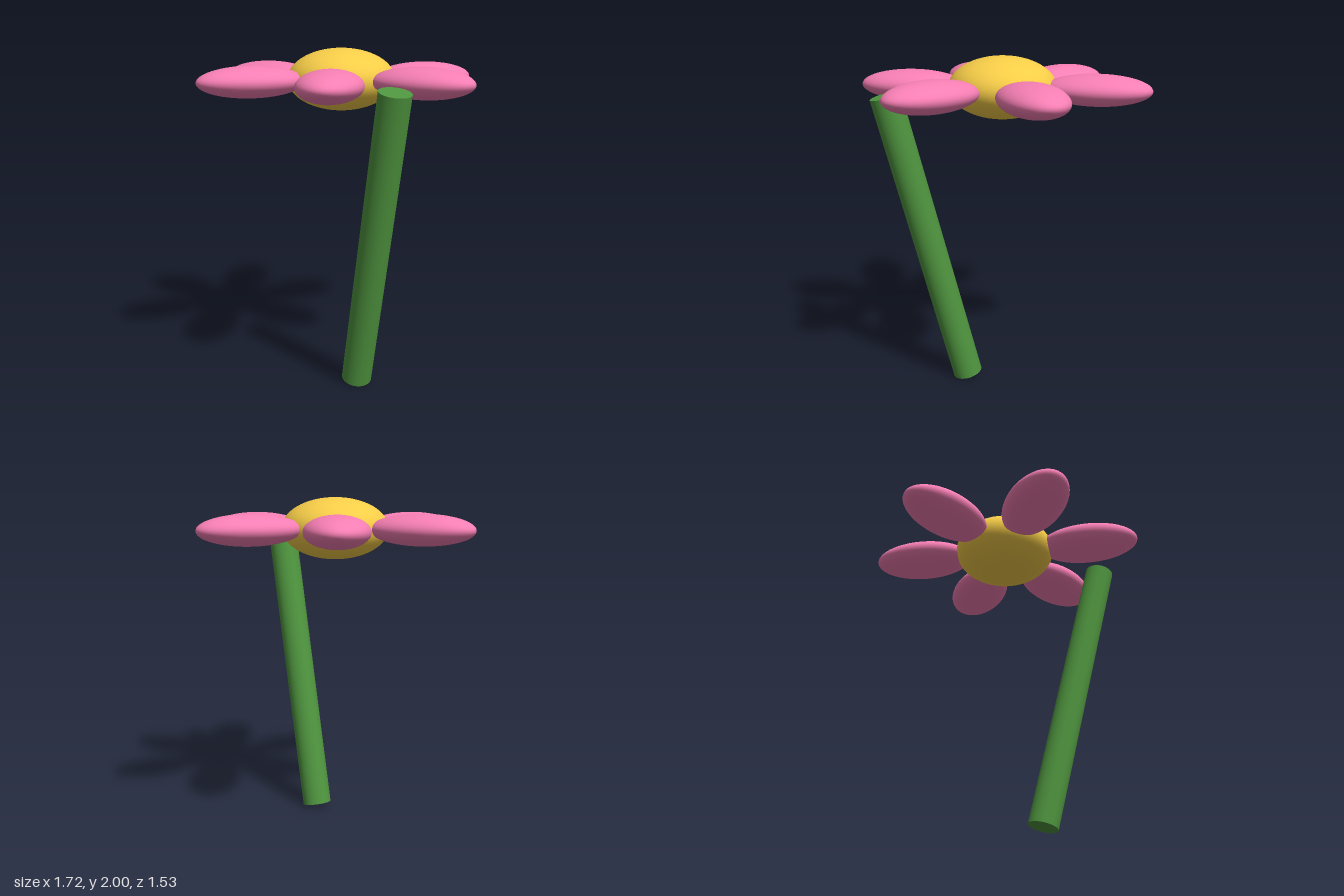
import * as THREE from 'three';

const material = (color) => new THREE.MeshStandardMaterial({ color });

// Sphere stretched to the given half-sizes
function ellipsoid(name, rx, ry, rz, mat) {
  const geometry = new THREE.SphereGeometry(1, 48, 32).scale(rx, ry, rz);
  const mesh = new THREE.Mesh(geometry, mat);
  mesh.name = name;
  return mesh;
}

export function createModel() {
  const flower = new THREE.Group();
  flower.name = 'flower';

  // Flower head: domed centre with a ring of six petals
  const head = new THREE.Group();
  head.name = 'flowerHead';
  head.position.set(0, 1.82, -0.004);
  head.add(ellipsoid('flowerCentre', 0.315, 0.18, 0.315, material(0xf7cd48)));

  const petalMaterial = material(0xf77fb4);
  const petalCount = 6;
  for (let i = 0; i < petalCount; i++) {
    const angle = (i / petalCount) * Math.PI * 2;
    const petal = ellipsoid('petal', 0.315, 0.09, 0.18, petalMaterial);
    petal.position.set(Math.cos(angle) * 0.547, 0, -Math.sin(angle) * 0.547);
    petal.rotation.y = angle;
    head.add(petal);
  }
  flower.add(head);

  // Stem: leans forward toward its top
  const bottom = new THREE.Vector3(0, 0.022, 0.228);
  const top = new THREE.Vector3(0, 1.796, 0.678);
  const stem = new THREE.Mesh(
    new THREE.CylinderGeometry(0.09, 0.09, bottom.distanceTo(top), 48),
    material(0x4f953f)
  );
  stem.name = 'stem';
  stem.position.lerpVectors(bottom, top, 0.5);
  stem.rotation.x = Math.atan2(top.z - bottom.z, top.y - bottom.y);
  flower.add(stem);

  return flower;
}
